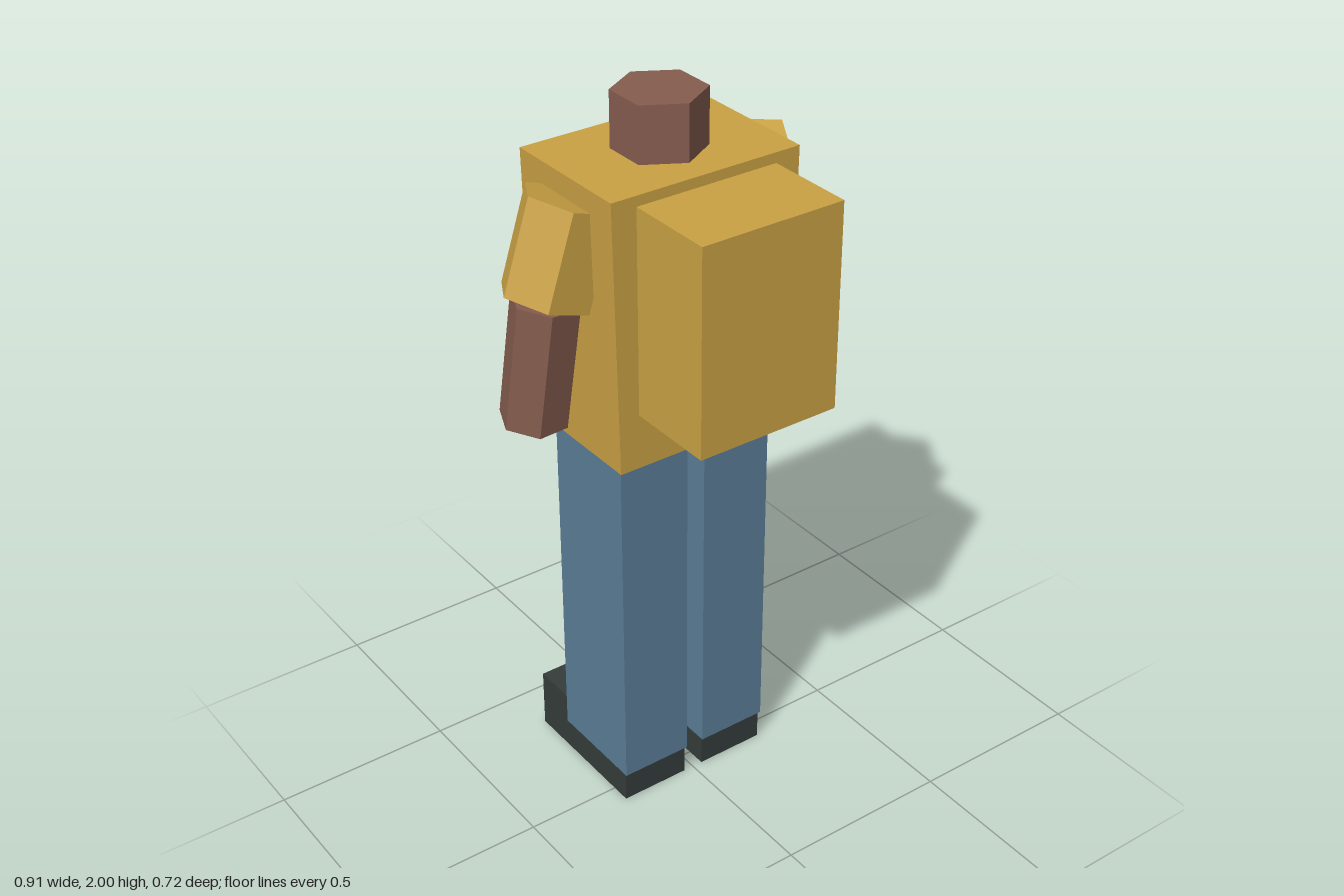
import * as THREE from 'three';

const material = (name, color) => {
  const m = new THREE.MeshStandardMaterial({ color });
  m.name = name;
  return m;
};

export function createModel() {
  const model = new THREE.Group();
  model.name = 'blockFigure';
  const shirt = material('mustard', 0xc9a144);
  const skin = material('brown skin', 0x855c4e);
  const denim = material('denim blue', 0x5a7d96);
  const leather = material('dark leather', 0x343c3a);

  const add = (name, geometry, mat) => {
    const mesh = new THREE.Mesh(geometry, mat);
    mesh.name = name;
    model.add(mesh);
    return mesh;
  };

  // Box given by its lower and upper limits on each axis
  const box = (name, [x0, x1], [y0, y1], [z0, z1], mat) =>
    add(name, new THREE.BoxGeometry(x1 - x0, y1 - y0, z1 - z0), mat)
      .position.set((x0 + x1) / 2, (y0 + y1) / 2, (z0 + z1) / 2);

  // Six-sided prism between two end centres, turned about its own axis
  const prism = (name, top, bottom, radius, turn, mat) => {
    const a = new THREE.Vector3(...top), b = new THREE.Vector3(...bottom);
    const axis = a.clone().sub(b);
    const geometry = new THREE.CylinderGeometry(radius, radius, axis.length(), 6).toNonIndexed();
    geometry.rotateY(turn);
    geometry.computeVertexNormals();
    const mesh = add(name, geometry, mat);
    mesh.quaternion.setFromUnitVectors(new THREE.Vector3(0, 1, 0), axis.normalize());
    mesh.position.copy(a).add(b).multiplyScalar(0.5);
  };

  // Torso, slightly narrower at the hem
  const outline = new THREE.Shape([
    new THREE.Vector2(-0.26, 1.11), new THREE.Vector2(0.26, 1.11),
    new THREE.Vector2(0.275, 1.85), new THREE.Vector2(-0.275, 1.85),
  ]);
  const torso = new THREE.ExtrudeGeometry(outline, { depth: 0.385, bevelEnabled: false });
  add('torso', torso.translate(0, 0, -0.28), shirt);

  // Pack and neck
  box('pack', [-0.204, 0.204], [1.262, 1.822], [0.1, 0.358], shirt);
  prism('neck', [0, 2, -0.088], [0, 1.8, -0.088], 0.12, 0, skin);

  for (const s of [1, -1]) {
    const side = s > 0 ? 'left' : 'right';
    const span = (a, b) => (s > 0 ? [a, b] : [-b, -a]);

    // Legs and shoes
    box(side + 'Leg', span(0.027, 0.233), [0.09, 1.112], [-0.23, 0.063], denim);
    box(side + 'Shoe', span(0.03, 0.23), [0, 0.175], [-0.358, 0.055], leather);

    // Sleeves and forearms
    prism(side + 'Sleeve', [s * 0.261, 1.785, -0.088], [s * 0.34, 1.544, -0.088], 0.12, Math.PI / 6, shirt);
    prism(side + 'Forearm', [s * 0.34, 1.545, -0.086], [s * 0.367, 1.2, -0.121], 0.09,
      s * (Math.PI / 6 - 0.14), skin);
  }
  return model;
}
